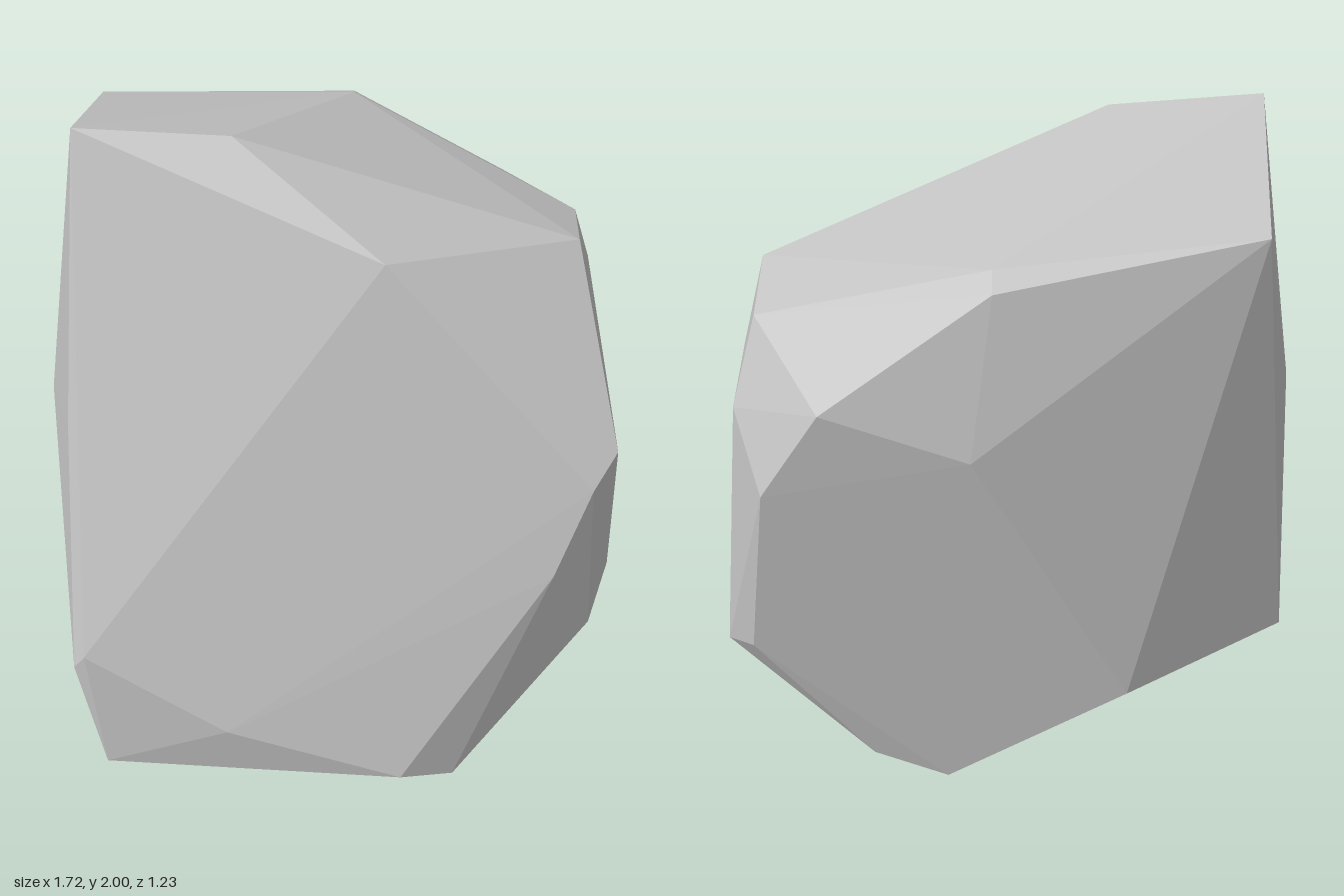
import * as THREE from 'three';
import { ConvexGeometry } from 'three/addons/geometries/ConvexGeometry.js';

// Corners of the boulder, grouped by region
const crown = [
  [-0.64, 2.0, -0.19], [-0.28, 1.975, -0.02], [-0.4, 1.855, -0.615],
  [0.24, 1.82, -0.38], [0.27, 1.79, -0.44], [0, 1.69, 0.28],
  [0.58, 1.61, 0.27], [0.69, 1.57, 0.07], [0.69, 1.5, -0.325],
];
const sides = [
  [0.79, 1.36, 0], [0.81, 1.22, -0.21], [0.855, 0.6, 0.015], [0.82, 0.63, -0.08],
  [0.35, 1.34, -0.475], [-0.71, 1.18, -0.3], [-0.77, 1.25, -0.01],
  [-0.86, 0.57, 0.14], [-0.84, 0.62, 0.17],
];
const face = [
  [0.54, 1.14, 0.59], [0.46, 1.05, 0.61], [0.35, 0.8, 0.615],
  [0.65, 0.61, 0.43], [0.52, 0.53, 0.55], [-0.51, 0.37, 0.36],
];
const base = [
  [0.1, 0.12, 0.55], [-0.07, 0.18, 0.555], [-0.8, 0.23, 0.18],
  [-0.71, 0.27, -0.29], [-0.67, 0.39, -0.43], [-0.11, 0.41, -0.51],
  [0.31, 0.03, -0.22], [0.3, 0, -0.04], [0.5, 0.13, -0.13],
];

export function createModel() {
  const group = new THREE.Group();
  group.name = 'boulder';

  const stone = new THREE.MeshStandardMaterial({ color: 0xc4c4c4, flatShading: true });
  stone.name = 'light grey stone';

  // Faceted stone wrapped around the corners
  const points = [...crown, ...sides, ...face, ...base].map((p) => new THREE.Vector3(...p));
  const rock = new THREE.Mesh(new ConvexGeometry(points), stone);
  rock.name = 'rock';
  group.add(rock);
  return group;
}
